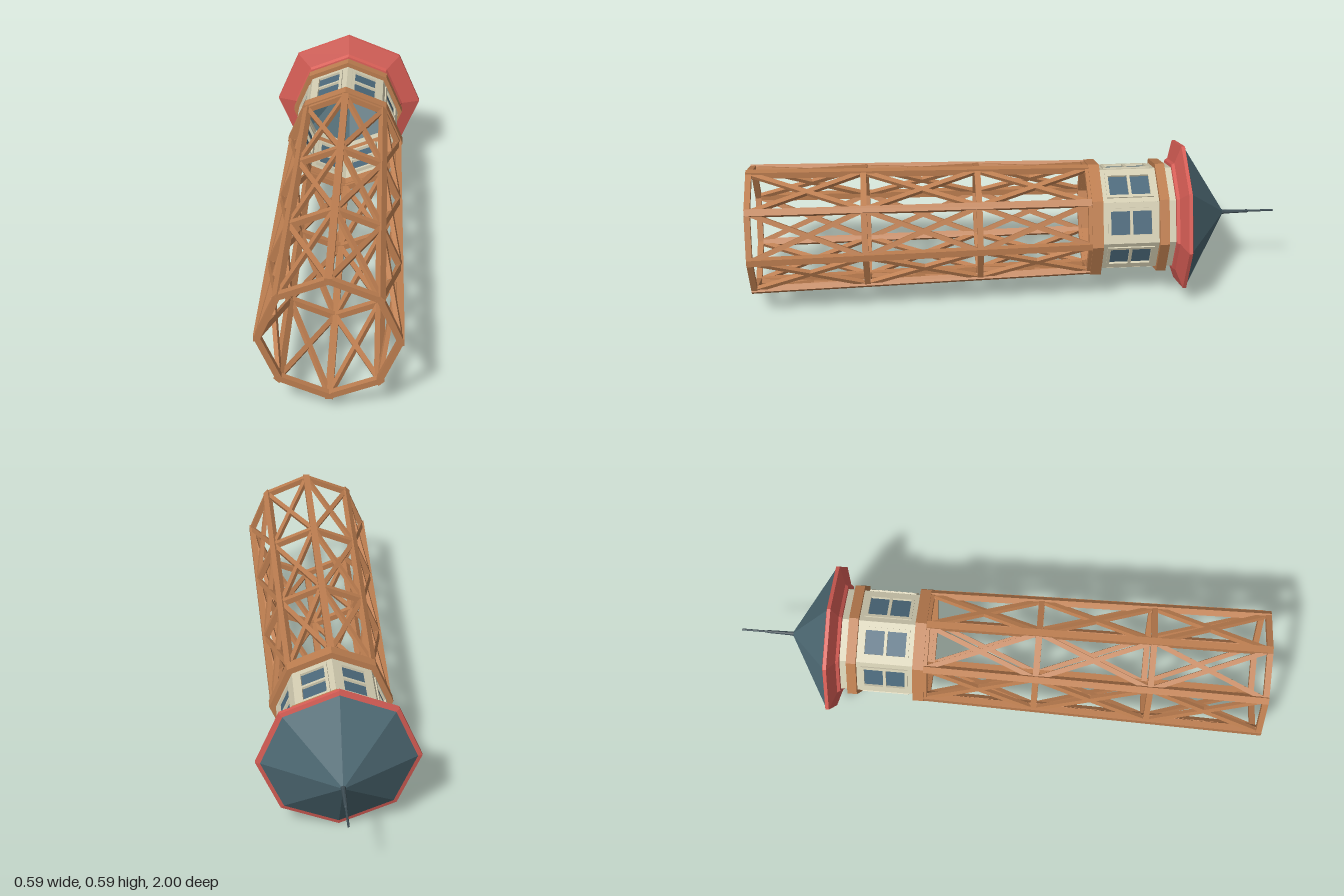
import * as THREE from 'three';
import { mergeGeometries } from 'three/addons/utils/BufferGeometryUtils.js';

const mat = (name, color, side = THREE.FrontSide) =>
  new THREE.MeshStandardMaterial({ name, color, flatShading: true, side });

const SIDES = 8;
const STEP = (Math.PI * 2) / SIDES;

// Octagonal solid or shell from a [radius, height] profile
const octagon = (profile) =>
  new THREE.LatheGeometry(profile.map(([r, h]) => new THREE.Vector2(r, h)), SIDES);

// Closed octagonal ring between two radii
const ring = (inner, outer, h0, h1) =>
  octagon([[inner, h0], [outer, h0], [outer, h1], [inner, h1], [inner, h0]]);

// Rectangular beam between two points, its depth facing away from the tower axis
function beam(a, b, width, depth) {
  const dir = b.clone().sub(a);
  const length = dir.length();
  dir.normalize();
  const out = a.clone().add(b).setY(0);
  out.addScaledVector(dir, -out.dot(dir)).normalize();
  const across = new THREE.Vector3().crossVectors(dir, out);
  const m = new THREE.Matrix4().makeBasis(across, dir, out);
  m.setPosition(a.clone().add(b).multiplyScalar(0.5));
  return new THREE.BoxGeometry(width, length, depth).applyMatrix4(m);
}

// Centre of post i at height h; the tower tapers upwards
function postPoint(i, h) {
  const r = 0.237 - (0.027 * h) / 1.28;
  return new THREE.Vector3(r * Math.sin(i * STEP), h, r * Math.cos(i * STEP));
}

// Flat panel with rectangular openings, centred on height 1.425
function panel(width, height, openings, depth, z) {
  const rect = (target, x, y, w, h) => target
    .moveTo(x - w / 2, y - h / 2).lineTo(x + w / 2, y - h / 2)
    .lineTo(x + w / 2, y + h / 2).lineTo(x - w / 2, y + h / 2).closePath();
  const shape = rect(new THREE.Shape(), 0, 0, width, height);
  for (const o of openings) shape.holes.push(rect(new THREE.Path(), ...o));
  return new THREE.ExtrudeGeometry(shape, { depth, bevelEnabled: false }).translate(0, 1.425, z);
}

export function createModel() {
  const wood = mat('wood', 0xbd7e50);
  const red = mat('red trim', 0xd65d55, THREE.DoubleSide);
  const slate = mat('slate', 0x4d6973, THREE.DoubleSide);
  const cream = mat('cream paint', 0xd3cdb2);
  const glass = mat('window glass', 0x4c697b);
  const dark = mat('dark metal', 0x3c4b52, THREE.DoubleSide);

  const model = new THREE.Group();
  model.name = 'tower';
  const tower = new THREE.Group();
  tower.name = 'towerBody';
  const add = (name, geometry, material) => {
    const mesh = new THREE.Mesh(geometry, material);
    mesh.name = name;
    tower.add(mesh);
  };

  // Timber frame: posts, horizontal beams and crossed braces
  const levels = [0.011, 0.435, 0.86, 1.275];
  const posts = [], beams = [], braces = [];
  for (let i = 0; i < SIDES; i++) {
    posts.push(beam(postPoint(i, 0), postPoint(i, 1.28), 0.026, 0.024));
    levels.forEach((h, k) => {
      beams.push(beam(postPoint(i, h), postPoint(i + 1, h), 0.022, 0.022));
      if (k === levels.length - 1) return;
      const top = levels[k + 1];
      braces.push(beam(postPoint(i, h), postPoint(i + 1, top), 0.018, 0.016));
      braces.push(beam(postPoint(i + 1, h), postPoint(i, top), 0.018, 0.016));
    });
  }
  add('framePosts', mergeGeometries(posts), wood);
  add('frameBeams', mergeGeometries(beams), wood);
  add('crossBraces', mergeGeometries(braces), wood);

  // Deck below the cabin and band above it
  add('lowerDeck', ring(0.196, 0.228, 1.277, 1.318), wood);
  add('upperBand', ring(0.196, 0.222, 1.53, 1.566), wood);
  add('cabinNeck', ring(0.194, 0.204, 1.566, 1.6), cream);

  // Cabin walls with a two-pane window on each side
  const walls = [], frames = [], panes = [];
  for (let i = 0; i < SIDES; i++) {
    const turn = (g) => g.rotateY((i + 0.5) * STEP);
    walls.push(turn(panel(0.156, 0.214, [[0, 0, 0.106, 0.166]], 0.007, 0.181)));
    frames.push(turn(panel(0.114, 0.176,
      [[0, 0.041, 0.09, 0.071], [0, -0.041, 0.09, 0.071]], 0.026, 0.167)));
    panes.push(turn(new THREE.BoxGeometry(0.1, 0.164, 0.006).translate(0, 1.425, 0.181)));
  }
  add('cabinWalls', mergeGeometries(walls), cream);
  add('windowFrames', mergeGeometries(frames), cream);
  add('windowPanes', mergeGeometries(panes), glass);

  // Flared eaves, hollow roof and hollow spire
  add('eaves', octagon([[0.2, 1.592], [0.215, 1.594], [0.222, 1.605],
    [0.293, 1.628], [0.293, 1.641], [0.276, 1.645]]), red);
  add('roof', octagon([[0.278, 1.644], [0.01, 1.8]]), slate);
  add('spire', octagon([[0.011, 1.795], [0.008, 1.81], [0.006, 1.9], [0.004, 1.905],
    [0.004, 2]]), dark);

  // The tower lies on its side, base towards the front
  tower.rotation.x = -Math.PI / 2;
  tower.position.set(0, 0.293, 1);
  model.add(tower);
  return model;
}
